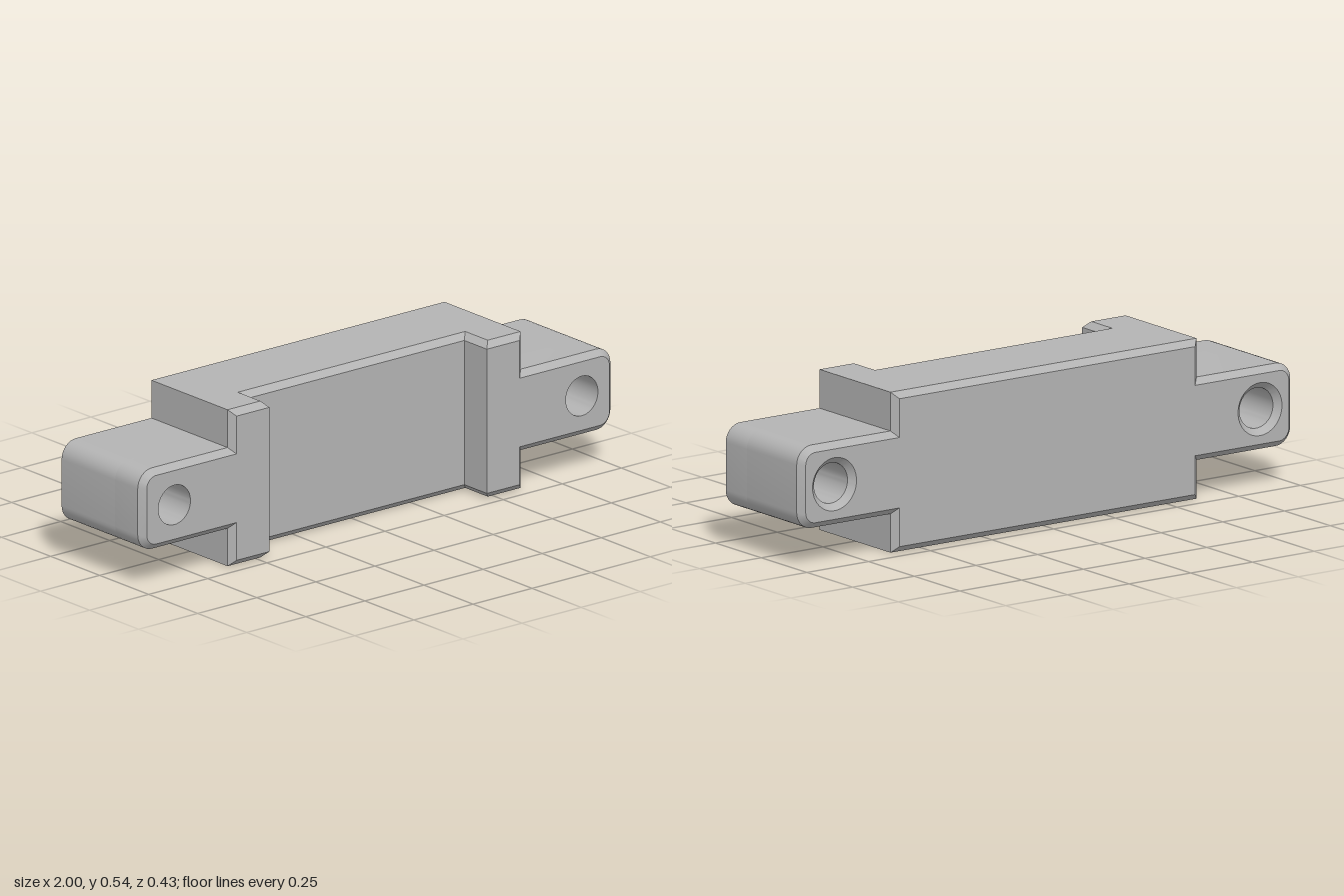
import * as THREE from 'three';
import { toCreasedNormals } from 'three/addons/utils/BufferGeometryUtils.js';

const H = 0.538, D = 0.215, C = 0.021;      // height, half depth, chamfer
const PILLAR = 0.62, POCKET = 0.46;         // half widths of the body and its front pocket
const FLOOR = 0.1;                          // z of the pocket floor
const EAR_LOW = 0.13, EAR_HIGH = 0.408, EAR_R = 0.06;
const HOLE_X = 0.862, HOLE_R = 0.068;

const mirror = (pts) => pts.map(([x, y]) => [-x, y]).reverse();

function arc(cx, cy, r, from, to, n) {
  return Array.from({ length: n + 1 }, (_, i) => {
    const a = from + (to - from) * i / n;
    return [cx + r * Math.cos(a), cy + r * Math.sin(a)];
  });
}

// Right-hand outline of pillar and ear, bottom to top, inset by d
function sideOutline(d) {
  const x = PILLAR - d, cx = 1 - EAR_R, q = Math.PI / 2;
  return [
    [x, d], [x, EAR_LOW + d],
    ...arc(cx, EAR_LOW + EAR_R, EAR_R - d, -q, 0, 8),
    ...arc(cx, EAR_HIGH - EAR_R, EAR_R - d, 0, q, 8),
    [x, EAR_HIGH - d], [x, H - d],
  ];
}

const fullOutline = (d) => [...sideOutline(d), ...mirror(sideOutline(d))];

// Outline of one front post with its ear; its pocket wall is chamfered at top and bottom
const postOutline = (d) => [
  ...sideOutline(d),
  [POCKET + C - d, H - d], [POCKET, H - C], [POCKET, C], [POCKET + C - d, d],
];

// Clockwise ring for a screw hole
const hole = (r) => arc(HOLE_X, (EAR_LOW + EAR_HIGH) / 2, r, Math.PI * 2, 0, 48).slice(0, -1);

// Solid through slices { z, outline, holes }, listed from back to front
function loft(slices, { back = false, front = false }) {
  const pos = [];
  const put = (p, z) => pos.push(p[0], p[1], z);
  for (let s = 0; s + 1 < slices.length; s++) {
    const a = slices[s], b = slices[s + 1];
    const ringsB = [b.outline, ...b.holes];
    [a.outline, ...a.holes].forEach((ra, k) => {
      const rb = ringsB[k];
      ra.forEach((p, i) => {
        const j = (i + 1) % ra.length;
        put(p, a.z); put(ra[j], a.z); put(rb[j], b.z);
        put(p, a.z); put(rb[j], b.z); put(rb[i], b.z);
      });
    });
  }
  const cap = ({ z, outline, holes }, flip) => {
    const rings = [outline, ...holes].map((r) => r.map(([x, y]) => new THREE.Vector2(x, y)));
    const all = [outline, ...holes].flat();
    for (const f of THREE.ShapeUtils.triangulateShape(rings[0], rings.slice(1))) {
      (flip ? [f[0], f[2], f[1]] : f).forEach((i) => put(all[i], z));
    }
  };
  if (back) cap(slices[0], true);
  if (front) cap(slices[slices.length - 1], false);
  const g = new THREE.BufferGeometry();
  g.setAttribute('position', new THREE.Float32BufferAttribute(pos, 3));
  g.computeVertexNormals();
  return toCreasedNormals(g, Math.PI / 7);
}

export function createModel() {
  const group = new THREE.Group();
  const gray = new THREE.MeshStandardMaterial({ color: 0xb3b3b3 });
  gray.name = 'gray';
  const add = (name, geometry) => {
    const mesh = new THREE.Mesh(geometry, gray);
    mesh.name = name;
    group.add(mesh);
  };
  const step = FLOOR - C;

  // Back plate with both ears and countersunk screw holes
  const pair = (r) => [hole(r), mirror(hole(r))];
  add('backPlate', loft([
    { z: -D, outline: fullOutline(C), holes: pair(HOLE_R + C) },
    { z: -D + C, outline: fullOutline(0), holes: pair(HOLE_R) },
    { z: step, outline: fullOutline(0), holes: pair(HOLE_R) },
  ], { back: true }));

  // Recessed pocket floor with chamfered top and bottom edges
  const floorOutline = (d) => {
    const x = POCKET + C - d;
    return [[-x, d], [x, d], [x, H - d], [-x, H - d]];
  };
  add('pocketFloor', loft([
    { z: step, outline: floorOutline(0), holes: [] },
    { z: FLOOR, outline: floorOutline(C), holes: [] },
  ], { front: true }));

  // Front posts with the front part of each ear
  for (const [name, place] of [['leftPost', (p) => p], ['rightPost', mirror]]) {
    const slice = (z, d) => ({ z, outline: place(postOutline(d)), holes: [place(hole(HOLE_R))] });
    add(name, loft([slice(step, 0), slice(D - C, 0), slice(D, C)], { front: true }));
  }
  return group;
}
